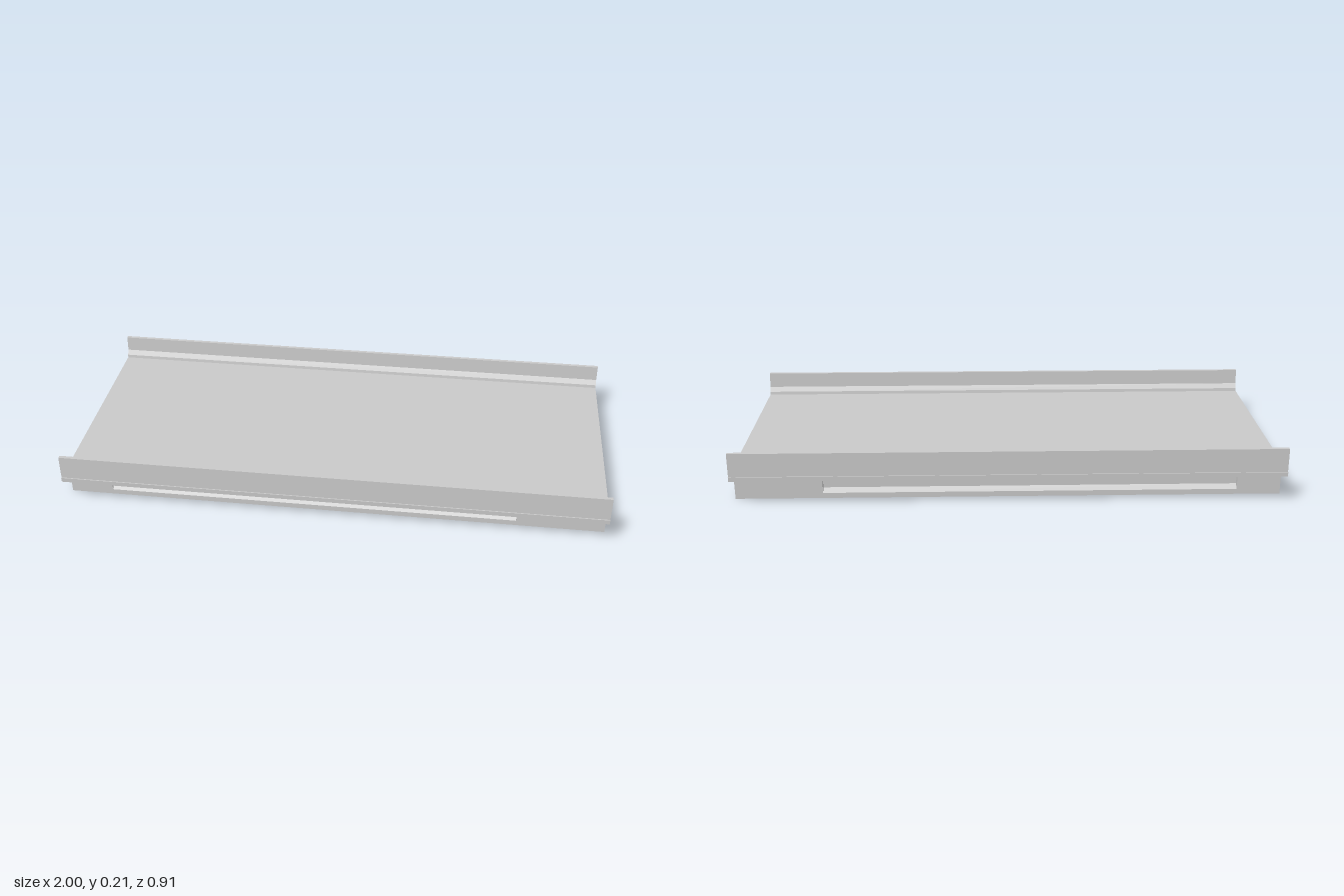
import * as THREE from 'three';

const material = new THREE.MeshStandardMaterial({ color: 0xcccccc, flatShading: true });

// Extrude a [z, y] section along x from x0 to x1
function extrudeX(name, section, x0, x1) {
  const shape = new THREE.Shape(section.map(([z, y]) => new THREE.Vector2(-z, y)));
  const geometry = new THREE.ExtrudeGeometry(shape, { depth: x1 - x0, bevelEnabled: false });
  geometry.rotateY(Math.PI / 2).translate(x0, 0, 0);
  const mesh = new THREE.Mesh(geometry, material);
  mesh.name = name;
  return mesh;
}

// Complete a half section by mirroring it about z = 0
const mirrored = (half) => [...half, ...half.map(([z, y]) => [-z, y]).reverse()];

export function createModel() {
  const group = new THREE.Group();
  group.name = 'bridgeSpan';

  // Deck slab
  group.add(extrudeX('deck', mirrored([[0.457, 0.105], [0.457, 0.122]]), -1, 1));

  // Parapets with a sloped inner foot
  const parapet = [[0.453, 0.122], [0.451, 0.21], [0.438, 0.21], [0.434, 0.152], [0.421, 0.134], [0.419, 0.122]];
  for (const side of [1, -1]) {
    group.add(extrudeX(side > 0 ? 'frontParapet' : 'backParapet', parapet.map(([z, y]) => [z * side, y]), -1, 1));
  }

  // Girders: solid end blocks and a thin web with a bottom bulb between them
  const endSection = mirrored([[0.027, 0], [0.027, 0.087], [0.047, 0.093], [0.047, 0.105]]);
  const webSection = mirrored([[0.027, 0], [0.027, 0.02], [0.01, 0.035], [0.01, 0.082], [0.047, 0.093], [0.047, 0.105]]);
  const girderZ = [-0.345, -0.115, 0.115, 0.345];
  for (const z of girderZ) {
    const girder = new THREE.Group();
    girder.name = 'girder';
    girder.add(
      extrudeX('girderEndBlock', endSection, -1, -0.84),
      extrudeX('girderWeb', webSection, -0.84, 0.68),
      extrudeX('girderEndBlock', endSection, 0.68, 1)
    );
    girder.position.z = z;
    group.add(girder);
  }

  // Cross diaphragms between neighbouring girders
  for (const x of [-0.95, 0, 0.95]) {
    for (let i = 0; i < 3; i++) {
      const diaphragm = new THREE.Mesh(new THREE.BoxGeometry(0.03, 0.085, 0.212), material);
      diaphragm.name = 'diaphragm';
      diaphragm.position.set(x, 0.0625, (girderZ[i] + girderZ[i + 1]) / 2);
      group.add(diaphragm);
    }
  }
  return group;
}
